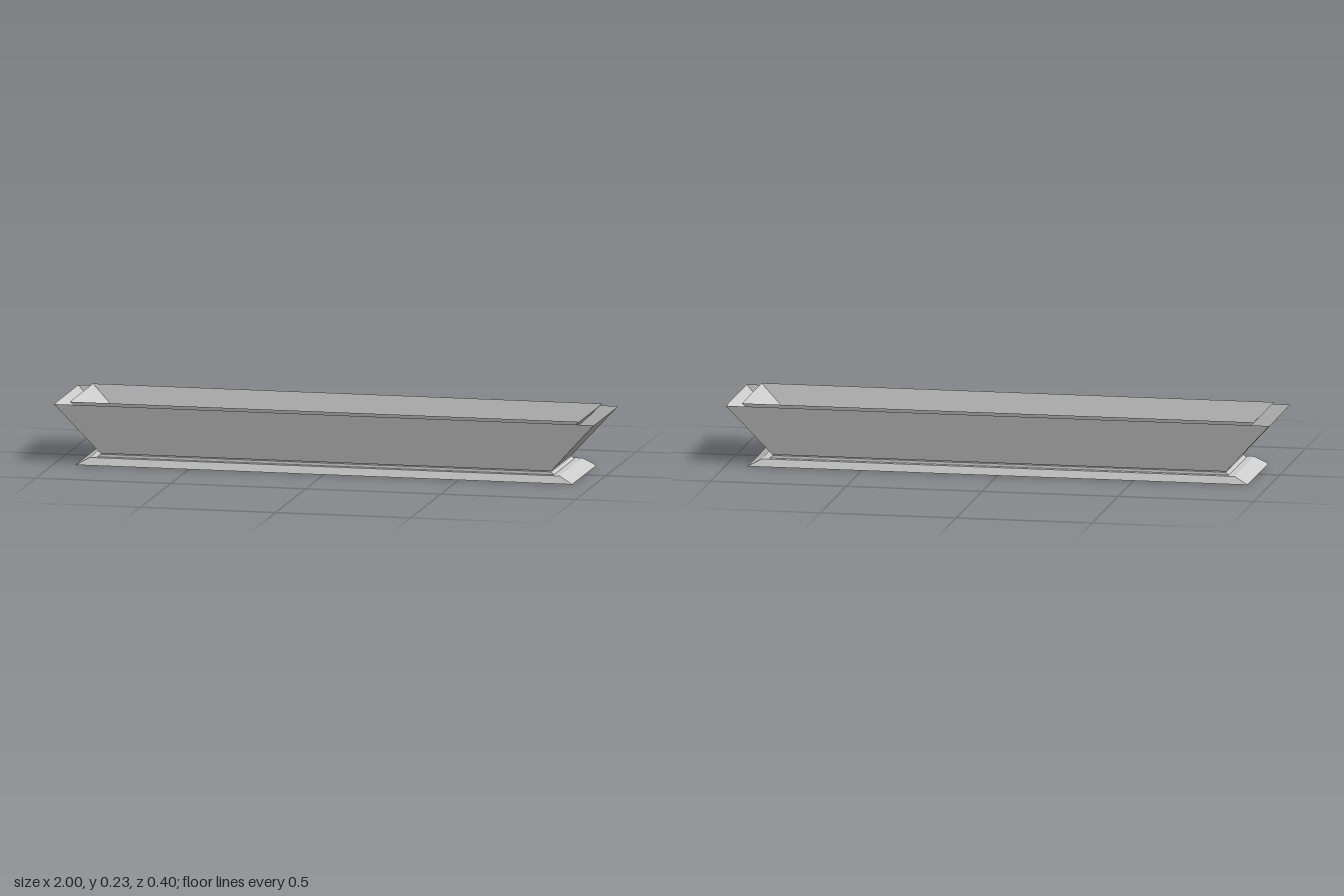
import * as THREE from 'three';

// Rectangular surface lofted through [halfX, y, halfZ] sections, with optional flat ends
function loft(sections, capBottom, capTop) {
  const rings = sections.map(([x, y, z]) => [[x, y, z], [x, y, -z], [-x, y, -z], [-x, y, z]]);
  const pos = [];
  const quad = (a, b, c, d) => pos.push(...a, ...b, ...c, ...a, ...c, ...d);
  for (let i = 0; i < rings.length - 1; i++) {
    for (let k = 0; k < 4; k++) {
      const n = (k + 1) % 4;
      quad(rings[i][k], rings[i][n], rings[i + 1][n], rings[i + 1][k]);
    }
  }
  if (capBottom) {
    const [a, b, c, d] = rings[0];
    quad(d, c, b, a);
  }
  if (capTop) quad(...rings[rings.length - 1]);
  const geo = new THREE.BufferGeometry();
  geo.setAttribute('position', new THREE.Float32BufferAttribute(pos, 3));
  geo.computeVertexNormals();
  return geo;
}

export function createModel() {
  const model = new THREE.Group();
  model.name = 'planterBox';
  const stone = new THREE.MeshStandardMaterial({ color: 0xcccccc, side: THREE.DoubleSide });
  stone.name = 'light grey';

  const add = (name, geo) => {
    const mesh = new THREE.Mesh(geo, stone);
    mesh.name = name;
    model.add(mesh);
  };

  // Bevelled foot slab
  add('base', loft([[0.92, 0, 0.202], [0.87, 0.027, 0.19]], true, true));
  // Low step under the trough
  add('neck', loft([[0.845, 0.027, 0.17], [0.835, 0.037, 0.169]], false, true));
  // Flared outer walls, open at the top
  add('outerShell', loft([[0.835, 0.04, 0.169], [1, 0.22, 0.202]], false, false));
  // Separate inner trough with its floor, standing slightly proud of the outer walls
  add('innerTrough', loft([[0.757, 0.04, 0.151], [0.943, 0.229, 0.191]], true, false));

  return model;
}
